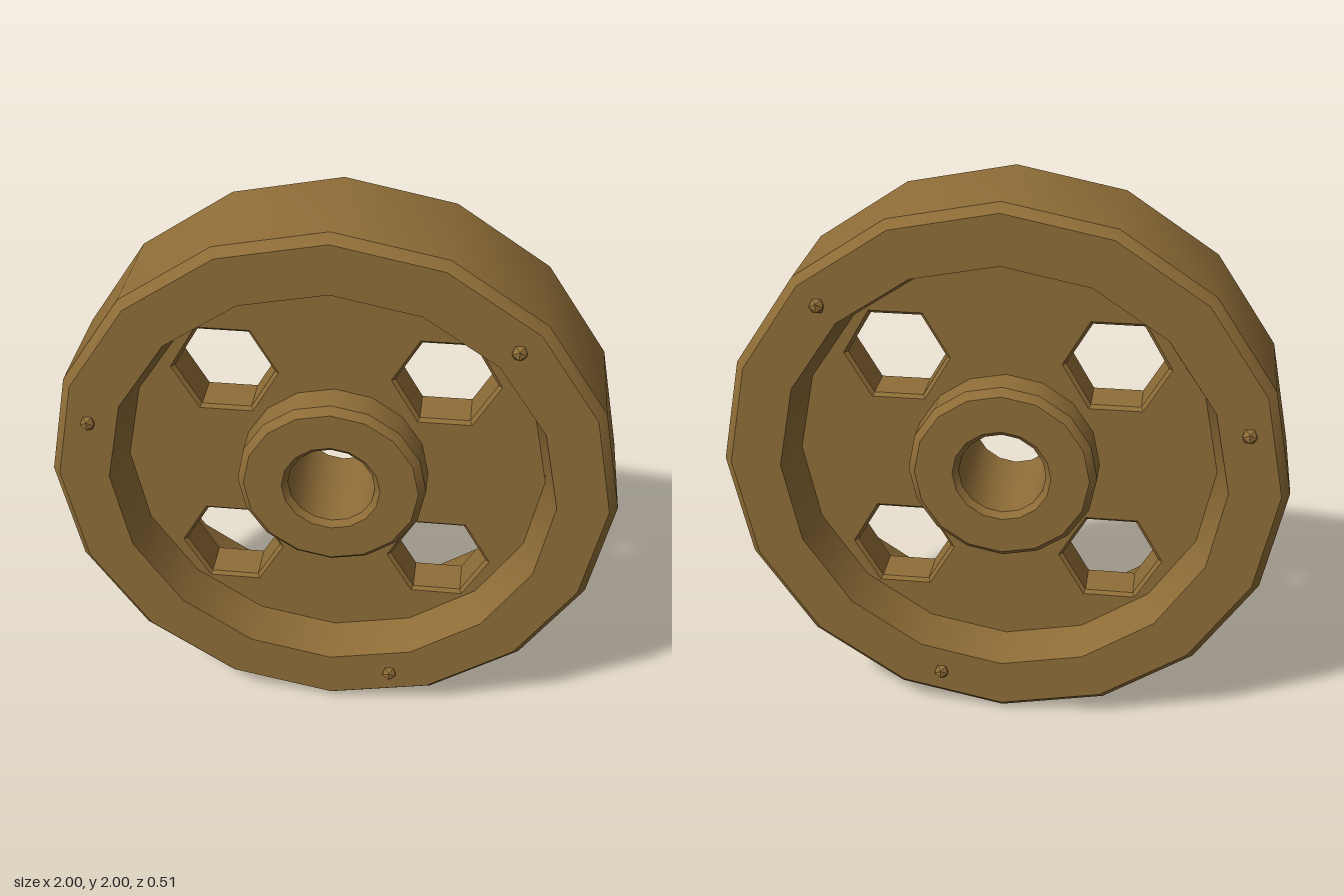
import * as THREE from 'three';
import { toCreasedNormals } from 'three/addons/utils/BufferGeometryUtils.js';

const SIDES = 16;
const CREASE = Math.PI / 6;

// Closed ring of [radius, z] points, symmetric front to back, turned about the z axis.
// The points run from the outer wall to the inner wall on the front half.
function ring(half) {
  const back = half.map(([r, z]) => [r, -z]).reverse();
  const loop = [...back, ...half].map(([r, z]) => new THREE.Vector2(r, z));
  // start on the outer wall so the loop runs back to front, then inward and back again
  const start = back.length - 1;
  const ordered = [...loop.slice(start), ...loop.slice(0, start + 1)];
  const geo = new THREE.LatheGeometry(ordered, SIDES);
  geo.rotateX(Math.PI / 2);
  return toCreasedNormals(geo, CREASE);
}

function polygon(PathType, cx, cy, radius, sides) {
  const points = [];
  for (let i = 0; i < sides; i++) {
    const a = (i / sides) * Math.PI * 2;
    points.push(new THREE.Vector2(cx + radius * Math.cos(a), cy + radius * Math.sin(a)));
  }
  return new PathType(points);
}

export function createModel() {
  const wheel = new THREE.Group();
  wheel.name = 'wheel';
  wheel.position.y = 1;
  const brown = new THREE.MeshStandardMaterial({ color: 0x8f6d37 });
  brown.name = 'brown';

  const add = (name, geometry) => {
    const mesh = new THREE.Mesh(geometry, brown);
    mesh.name = name;
    wheel.add(mesh);
    return mesh;
  };

  // Chamfered rim with a tapered inner wall
  add('rim', ring([[1, 0.2], [0.97, 0.23], [0.79, 0.23], [0.75, 0.08]]));

  // Hub with chamfered shoulder and bore
  add('hub', ring([[0.335, 0.185], [0.31, 0.21], [0.175, 0.21], [0.155, 0.19]]));

  // Web plate with four bevelled hexagonal holes
  const bevel = 0.012;
  const plate = polygon(THREE.Shape, 0, 0, 0.755, SIDES);
  plate.holes.push(polygon(THREE.Path, 0, 0, 0.26, SIDES));
  for (const x of [-0.385, 0.385]) {
    for (const y of [-0.385, 0.385]) {
      plate.holes.push(polygon(THREE.Path, x, y, 0.19, 6));
    }
  }
  const web = new THREE.ExtrudeGeometry(plate, {
    depth: 0.16 - 2 * bevel,
    bevelThickness: bevel,
    bevelSize: bevel,
    bevelSegments: 1,
  });
  web.translate(0, 0, -0.08 + bevel);
  add('web', web);

  // Three rivets on each face of the rim
  const rivet = new THREE.IcosahedronGeometry(0.029, 0);
  for (const side of [1, -1]) {
    for (const degrees of [45, 165, 285]) {
      const a = THREE.MathUtils.degToRad(degrees);
      add('rivet', rivet).position.set(0.875 * Math.cos(a), 0.875 * Math.sin(a), side * 0.23);
    }
  }

  const model = new THREE.Group();
  model.name = 'spokedWheel';
  model.add(wheel);
  return model;
}
